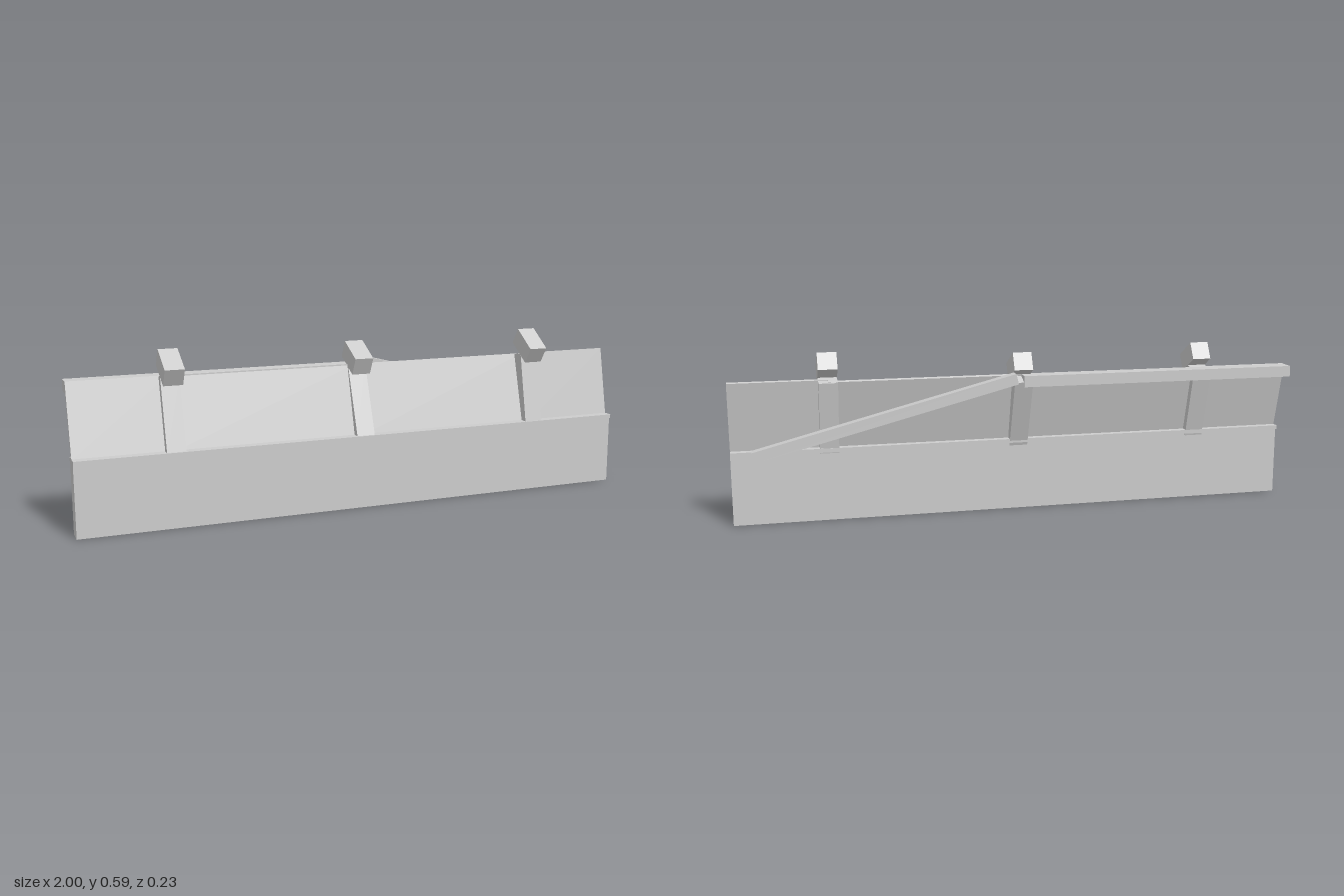
import * as THREE from 'three';

const deg = THREE.MathUtils.degToRad;

export function createModel() {
  const model = new THREE.Group();
  const grey = new THREE.MeshStandardMaterial({ color: 0xcccccc });
  grey.name = 'plain grey';

  // Box given by size, centre and rotation about x and z (degrees)
  function block(name, size, pos, tiltX = 0, tiltZ = 0) {
    const mesh = new THREE.Mesh(new THREE.BoxGeometry(...size), grey);
    mesh.name = name;
    mesh.position.set(...pos);
    mesh.rotation.set(deg(tiltX), 0, deg(tiltZ));
    model.add(mesh);
  }

  // Lower wall and its sill
  block('baseWall', [2, 0.245, 0.058], [0, 0.1225, 0.067]);
  block('sill', [2, 0.014, 0.075], [0, 0.25, 0.0655]);

  // Leaning posts, each with a slanted block on top
  const posts = [
    { x: -0.667, lean: 15.5, y: 0.368, z: 0.031, head: [0.529, 0.04, 30] },
    { x: 0, lean: 20.4, y: 0.364, z: 0.0205, head: [0.52, 0.0137, 27] },
    { x: 0.667, lean: 11.5, y: 0.371, z: 0.04, head: [0.532, 0.052, 34] },
  ];
  for (const { x, lean, y, z, head } of posts) {
    block('post', [0.065, 0.257, 0.065], [x, y, z], -lean, 0);
    block('postHead', [0.066, 0.065, 0.112], [x, head[0], head[1]], head[2], 0);
  }

  // Thin panels between the posts, hinged at the sill
  const panels = [
    [-1, -0.667, 14.8],
    [-0.667, 0, 15.8],
    [0, 0.667, 15.8],
    [0.667, 1, 11.5],
  ];
  const height = 0.252;
  for (const [x0, x1, lean] of panels) {
    const a = deg(lean);
    block('panel', [x1 - x0, height, 0.013],
      [(x0 + x1) / 2, 0.252 + height / 2 * Math.cos(a), 0.063 - height / 2 * Math.sin(a)], -lean, 0);
  }

  // Fixed rail behind one half, loose fallen rail behind the other
  block('backRail', [1, 0.039, 0.06], [-0.5, 0.4765, -0.028]);
  block('fallenRail', [0.915, 0.037, 0.038], [0.48, 0.382, -0.094], 0, -14.4);

  return model;
}
